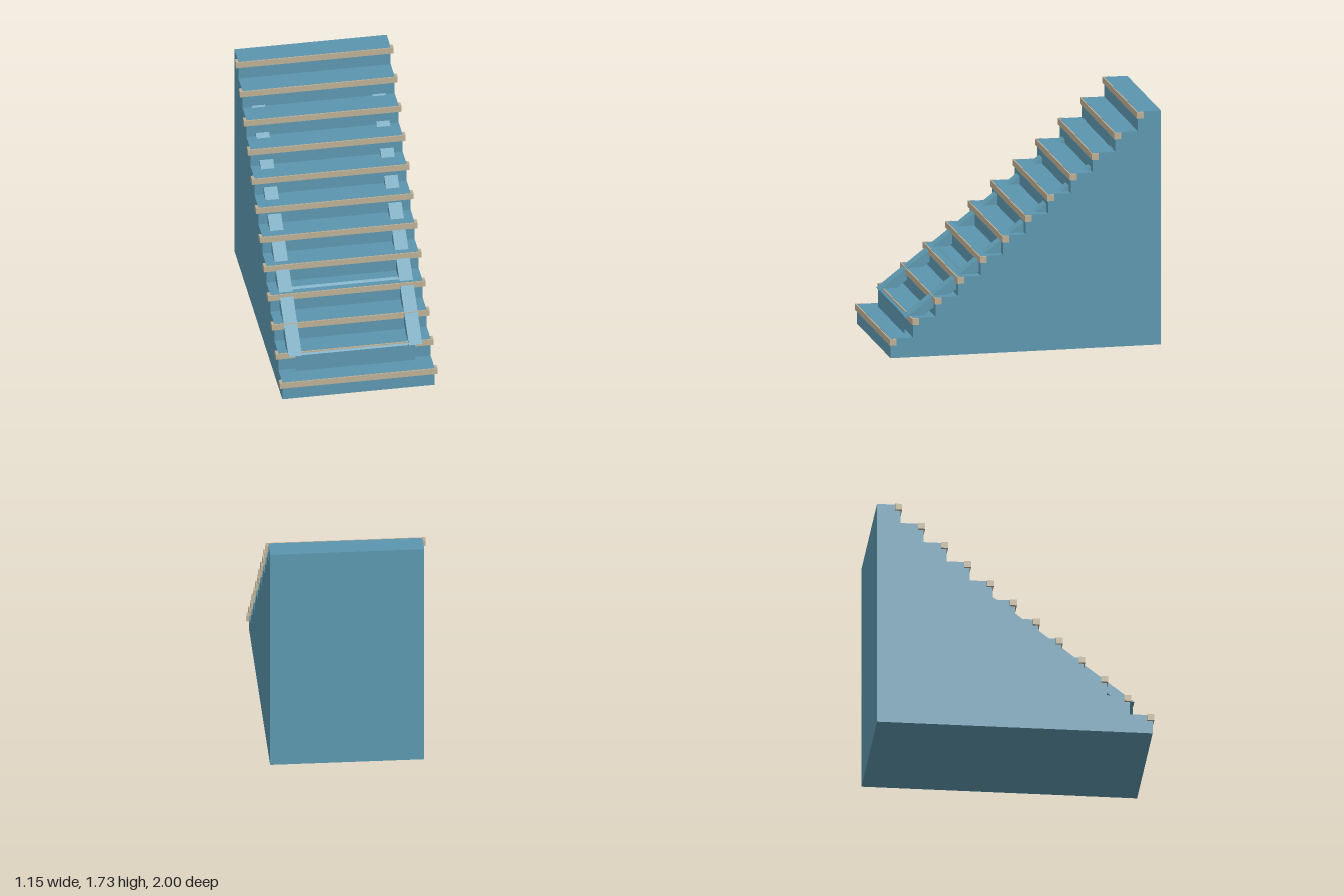
import * as THREE from 'three';

const STEPS = 12, RISE = 0.1438, RUN = 0.1655, FRONT = 0.99, BACK = -1;

// Extrudes a (z, y) side outline across the width, centred on x = 0
function sideExtrude(points, width) {
  const shape = new THREE.Shape(points.map(([z, y]) => new THREE.Vector2(z, y)));
  const geo = new THREE.ExtrudeGeometry(shape, { depth: width, bevelEnabled: false });
  geo.translate(0, 0, -width / 2);
  geo.rotateY(-Math.PI / 2);
  return geo;
}

export function createModel() {
  const group = new THREE.Group();
  const blue = new THREE.MeshStandardMaterial({ color: 0x5c96ae, side: THREE.DoubleSide });
  blue.name = 'blue paint';
  const beige = new THREE.MeshStandardMaterial({ color: 0xbcae94 });
  beige.name = 'beige trim';

  const add = (name, geo, mat, x = 0, y = 0, z = 0) => {
    const mesh = new THREE.Mesh(geo, mat);
    mesh.name = name;
    mesh.position.set(x, y, z);
    group.add(mesh);
    return mesh;
  };

  // Solid stair body
  const outline = [[BACK, 0], [FRONT, 0]];
  for (let i = 0; i < STEPS; i++) {
    const z = FRONT - i * RUN;
    outline.push([z, (i + 1) * RISE], [i < STEPS - 1 ? z - RUN : BACK, (i + 1) * RISE]);
  }
  add('stairBody', sideExtrude(outline, 1.11), blue);

  // Nosing on the front edge of each tread, just under the tread surface
  const nosing = new THREE.BoxGeometry(1.15, 0.046, 0.05);
  for (let i = 0; i < STEPS; i++) {
    add('nosing', nosing, beige, 0, (i + 1) * RISE - 0.024, FRONT - i * RUN - 0.015);
  }

  // Sloping stringers, mostly sunk into the steps
  const slope = 0.766;
  const lineY = (z) => 0.275 + (0.865 - z) * slope;
  const stringer = sideExtrude([[0.75, 0.275], [0.865, 0.275], [-0.69, lineY(-0.69)], [-0.69, 1.36]], 0.098);
  for (const side of [-1, 1]) add(side > 0 ? 'leftStringer' : 'rightStringer', stringer, blue, side * 0.439);

  // Upright kick panel between the stringer feet
  add('kickPanel', new THREE.PlaneGeometry(0.87, 0.131), blue, 0, 0.2095, 0.86);

  // Narrow sloping cross strips
  const tilt = Math.atan(slope) - Math.PI / 2;
  const strip = new THREE.PlaneGeometry(0.8, 0.025);
  for (const [z, y] of [[0.85, 0.274], [0.441, 0.581]]) {
    add('crossStrip', strip, blue, 0, y, z).rotation.x = tilt;
  }
  return group;
}
